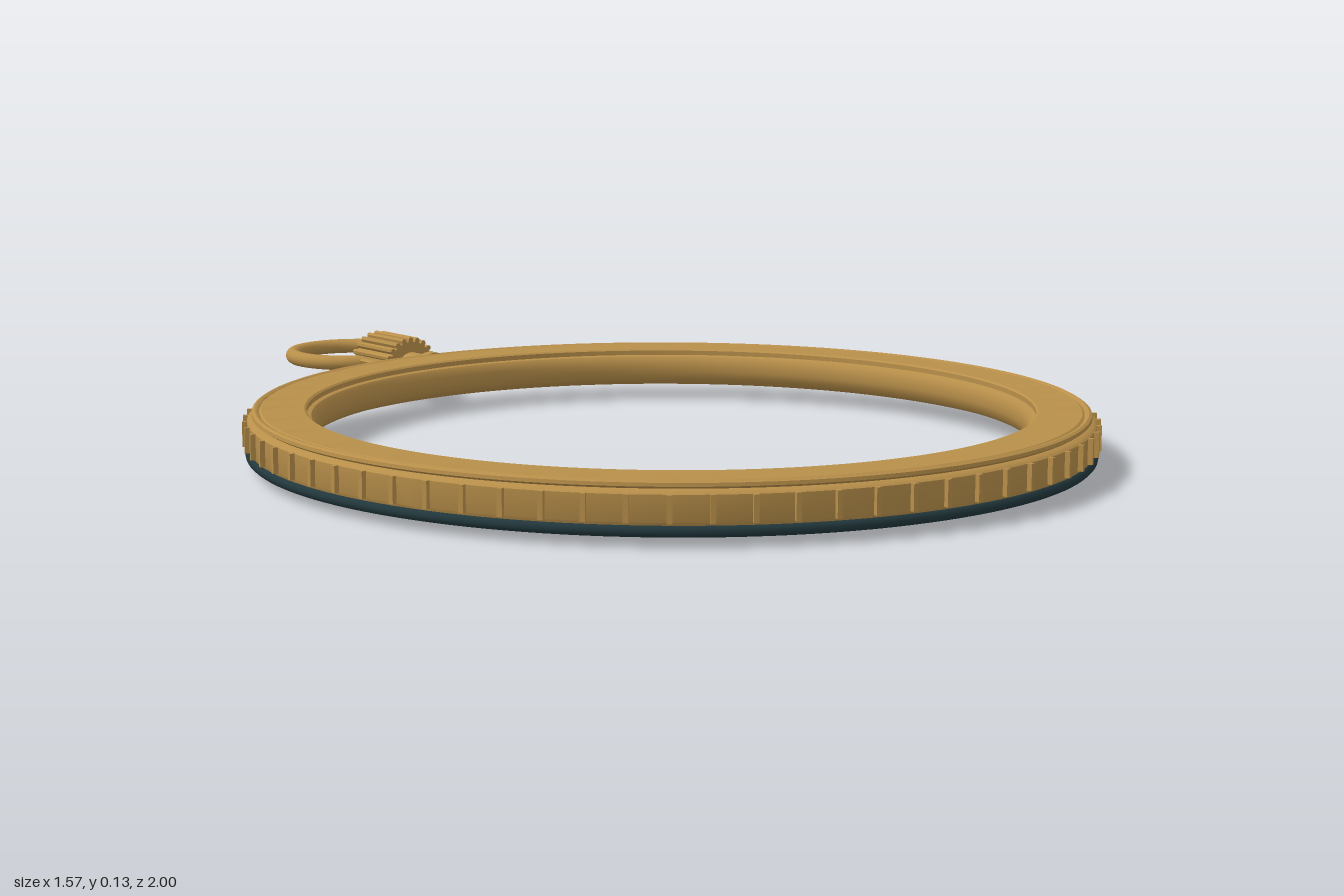
import * as THREE from 'three';
import { toCreasedNormals } from 'three/addons/utils/BufferGeometryUtils.js';

const CY = 0.065; // height of the crown axis
const CZ = 0.215; // centre of the case ring

export function createModel() {
  const model = new THREE.Group();
  const bronze = new THREE.MeshStandardMaterial({ color: 0xb88f4a });
  const dark = new THREE.MeshStandardMaterial({ color: 0x22383d });

  const add = (name, geometry, material, parent = model) => {
    const mesh = new THREE.Mesh(geometry, material);
    mesh.name = name;
    parent.add(mesh);
    return mesh;
  };
  const lathe = (profile, segments) => toCreasedNormals(
    new THREE.LatheGeometry(profile.map(([r, y]) => new THREE.Vector2(r, y)), segments), 0.6);

  // Case ring: outer wall, stepped bezel, top face, rounded inner wall, underside
  const ring = new THREE.Group();
  ring.name = 'caseRing';
  ring.position.z = CZ;
  model.add(ring);
  add('caseBody', lathe([
    [0.762, 0.02], [0.774, 0.034], [0.776, 0.04], [0.776, 0.085], [0.771, 0.09],
    [0.762, 0.092], [0.768, 0.096], [0.767, 0.102], [0.762, 0.105], [0.757, 0.104],
    [0.754, 0.101], [0.75, 0.104],
    [0.672, 0.104], [0.668, 0.101], [0.668, 0.092], [0.66, 0.09], [0.655, 0.084],
    [0.652, 0.072], [0.652, 0.058], [0.656, 0.044], [0.667, 0.034], [0.69, 0.027],
    [0.725, 0.022], [0.762, 0.02],
  ], 144), bronze, ring);

  // Dark band around the lower edge
  const band = add('lowerBand', new THREE.TorusGeometry(0.77, 0.0105, 12, 144), dark, ring);
  band.rotation.x = Math.PI / 2;
  band.position.y = 0.026;

  // Grip ribs around the outer wall
  const ribs = new THREE.Group();
  ribs.name = 'gripRibs';
  ring.add(ribs);
  const ribGeometry = new THREE.BoxGeometry(0.009, 0.046, 0.02);
  for (let i = 0; i < 72; i++) {
    const a = (i / 72) * Math.PI * 2;
    if (i === 36) continue; // the neck sits here
    const rib = add('gripRib', ribGeometry, bronze, ribs);
    rib.position.set(Math.sin(a) * 0.775, 0.063, Math.cos(a) * 0.775);
    rib.rotation.y = a;
  }

  // Winding stem, turned so that local +z points to the back
  const stem = new THREE.Group();
  stem.name = 'stem';
  stem.position.y = CY;
  stem.rotation.y = Math.PI;
  model.add(stem);

  const neck = add('neck', lathe([
    [0, 0.545], [0.042, 0.545], [0.042, 0.566], [0.039, 0.574], [0.033, 0.58],
    [0.033, 0.635], [0, 0.635],
  ], 32), bronze, stem);
  neck.rotation.x = Math.PI / 2;

  // Fluted crown
  const flutes = 22;
  const outline = [];
  for (let i = 0; i < flutes; i++) {
    for (const [t, r] of [[-0.28, 0.062], [0, 0.065], [0.28, 0.062], [0.36, 0.055], [0.64, 0.055]]) {
      const a = ((i + t) / flutes) * Math.PI * 2;
      outline.push(new THREE.Vector2(Math.sin(a) * r, Math.cos(a) * r));
    }
  }
  const crown = add('crown', new THREE.ExtrudeGeometry(new THREE.Shape(outline), {
    depth: 0.132, bevelEnabled: false,
  }), bronze, stem);
  crown.position.z = 0.632;

  // Domed crown cap
  const cap = add('crownCap', new THREE.SphereGeometry(0.044, 32, 10, 0, Math.PI * 2, 0, Math.PI / 2),
    bronze, stem);
  cap.scale.y = 0.4;
  cap.rotation.x = Math.PI / 2;
  cap.position.z = 0.763;

  // Hanging loop
  const loop = add('loop', new THREE.TorusGeometry(0.128, 0.0155, 16, 72), bronze);
  loop.rotation.x = Math.PI / 2;
  loop.position.set(0, CY + 0.003, -0.8565);

  return model;
}
